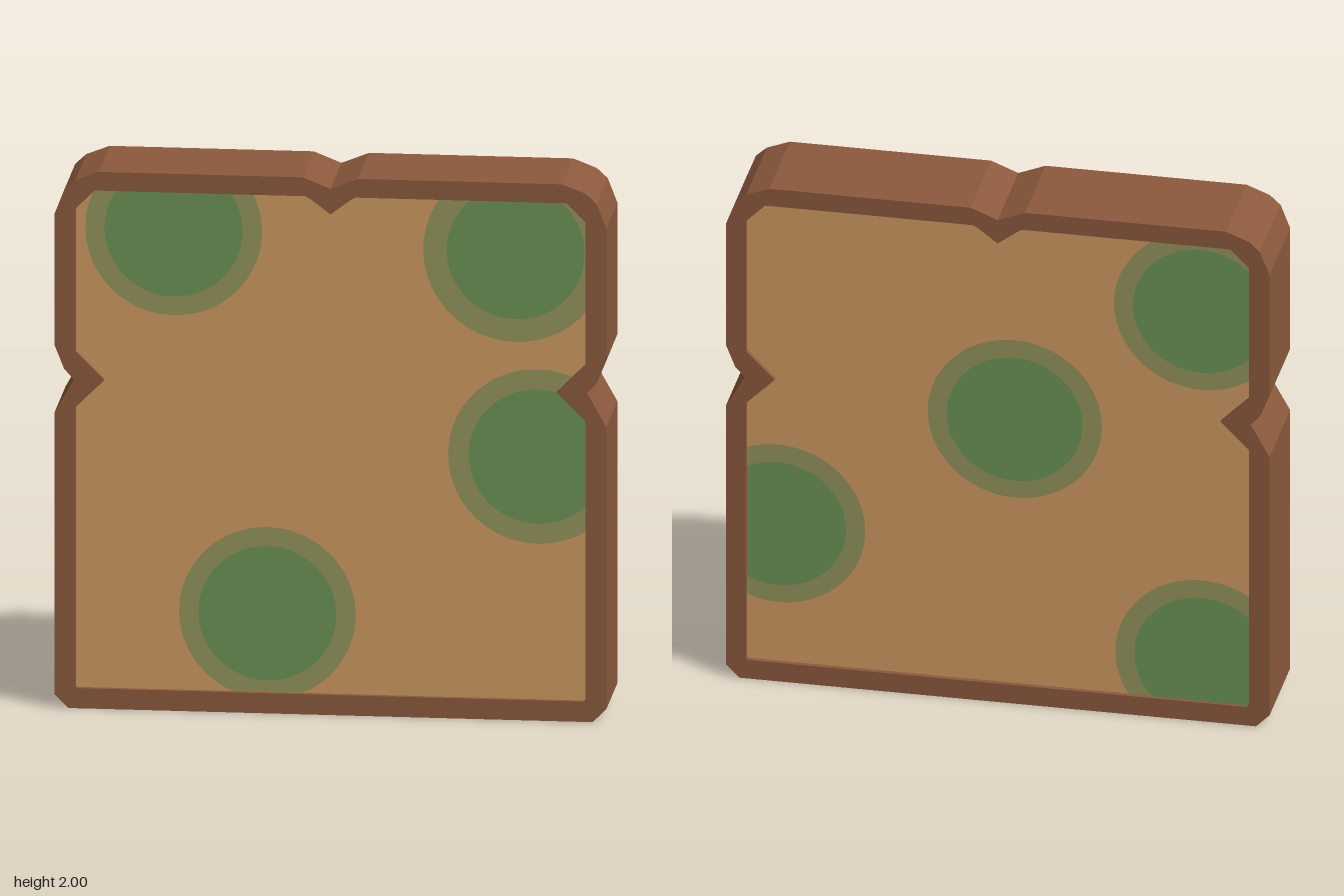
import * as THREE from 'three';

const paint = (name, color) => {
  const m = new THREE.MeshStandardMaterial({ color });
  m.name = name;
  return m;
};

const HALF = 0.187;   // half thickness of the crust
const CRUMB = 0.169;  // half thickness of the recessed crumb

// Right half of a contour, bottom to top, mirrored into a closed outline.
function mirrored(half) {
  const right = half.map(([x, y]) => new THREE.Vector2(x, y));
  const left = right.filter(p => p.x > 0).reverse().map(p => new THREE.Vector2(-p.x, p.y));
  return [...right, ...left];
}

const OUTER = [
  [0.95, 0], [1, 0.05], [1, 1.1], [0.93, 1.225], [0.965, 1.262], [1, 1.35],
  [1, 1.84], [0.965, 1.93], [0.925, 1.967], [0.84, 2], [0.1, 2], [0, 1.96],
];
const INNER = [
  [0.917, 0.075], [0.925, 0.083], [0.925, 1.12], [0.82, 1.225], [0.925, 1.33],
  [0.925, 1.86], [0.855, 1.93], [0.09, 1.93], [0.07, 1.918], [0, 1.865],
];

function slab(shape, half) {
  const g = new THREE.ExtrudeGeometry(shape, { depth: half * 2, bevelEnabled: false });
  return g.translate(0, 0, -half);
}

// Round patch trimmed to the edge of the crumb.
function patch(cx, cy, r) {
  const points = [];
  for (let i = 0; i < 96; i++) {
    const a = (i / 96) * Math.PI * 2;
    points.push(new THREE.Vector2(
      THREE.MathUtils.clamp(cx + r * Math.cos(a), -0.925, 0.925),
      THREE.MathUtils.clamp(cy + r * Math.sin(a), 0.075, 1.93)));
  }
  return new THREE.ShapeGeometry(new THREE.Shape(points));
}

export function createModel() {
  const model = new THREE.Group();
  model.name = 'breadSlice';
  const crustMat = paint('crust brown', 0x8d5a3d);
  const crumbMat = paint('crumb tan', 0xd29c63);
  const moldMat = paint('mold green', 0x6e9558);
  const haloMat = paint('mold edge olive', 0x95965c);

  const add = (parent, name, geometry, material) => {
    const mesh = new THREE.Mesh(geometry, material);
    mesh.name = name;
    parent.add(mesh);
    return mesh;
  };

  // Crust frame
  const frame = new THREE.Shape(mirrored(OUTER));
  frame.holes.push(new THREE.Path(mirrored(INNER)));
  add(model, 'crust', slab(frame, HALF), crustMat);

  // Recessed crumb filling the frame
  add(model, 'crumb', slab(new THREE.Shape(mirrored(INNER)), CRUMB), crumbMat);

  // Mold patches on one face: a wide pale disc under a smaller green one
  const addMold = (name, spots) => {
    const face = new THREE.Group();
    face.name = name;
    for (const [x, y, r] of spots) {
      add(face, 'moldEdge', patch(x, y, r), haloMat).position.z = CRUMB + 0.003;
      add(face, 'moldSpot', patch(x, y, 0.25), moldMat).position.z = CRUMB + 0.006;
    }
    model.add(face);
    return face;
  };
  addMold('frontMold', [
    [-0.57, 1.79, 0.32], [0.67, 1.74, 0.335], [0.75, 0.98, 0.325], [-0.23, 0.37, 0.32],
  ]);
  // The back face is turned around, so its x runs the other way
  addMold('backMold', [
    [0.06, 1.15, 0.32], [-0.81, 0.635, 0.32], [0.745, 1.66, 0.32], [0.75, 0.245, 0.32],
  ]).rotation.y = Math.PI;

  return model;
}
